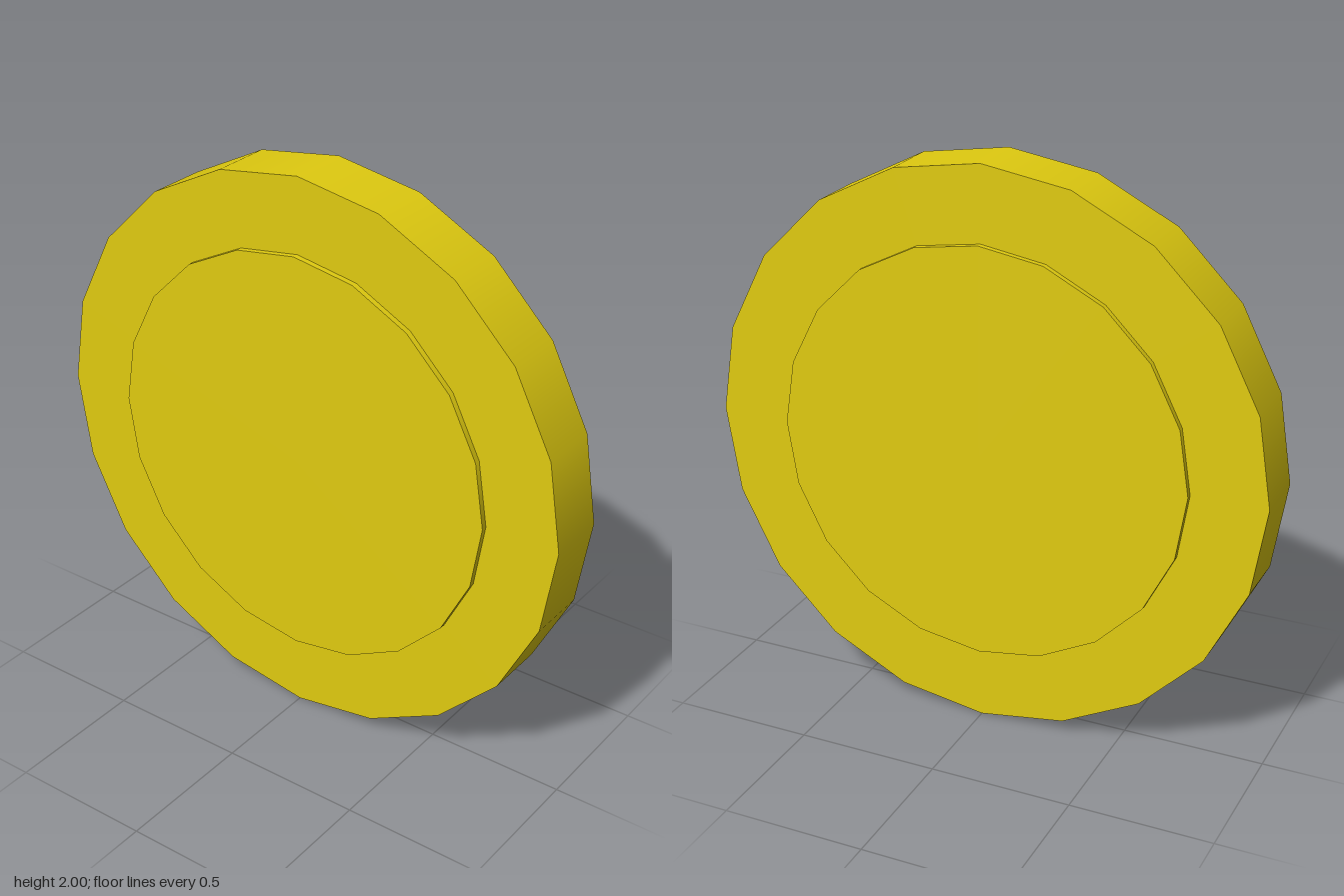
import * as THREE from 'three';

export function createModel() {
  const group = new THREE.Group();
  const gold = new THREE.MeshStandardMaterial({ color: 0xe0cb10 });
  gold.name = 'gold';

  // Twenty-sided disc facing +z
  function addDisc(name, radius, depth, z) {
    const geometry = new THREE.CylinderGeometry(radius, radius, depth, 20);
    geometry.rotateX(Math.PI / 2);
    const disc = new THREE.Mesh(geometry, gold);
    disc.name = name;
    disc.position.set(0, 1, z);
    group.add(disc);
  }

  // Coin body, with a thin raised face on each side
  addDisc('coinBody', 1, 0.22, 0);
  addDisc('frontFace', 0.737, 0.03, 0.116);
  addDisc('backFace', 0.737, 0.03, -0.116);

  return group;
}
